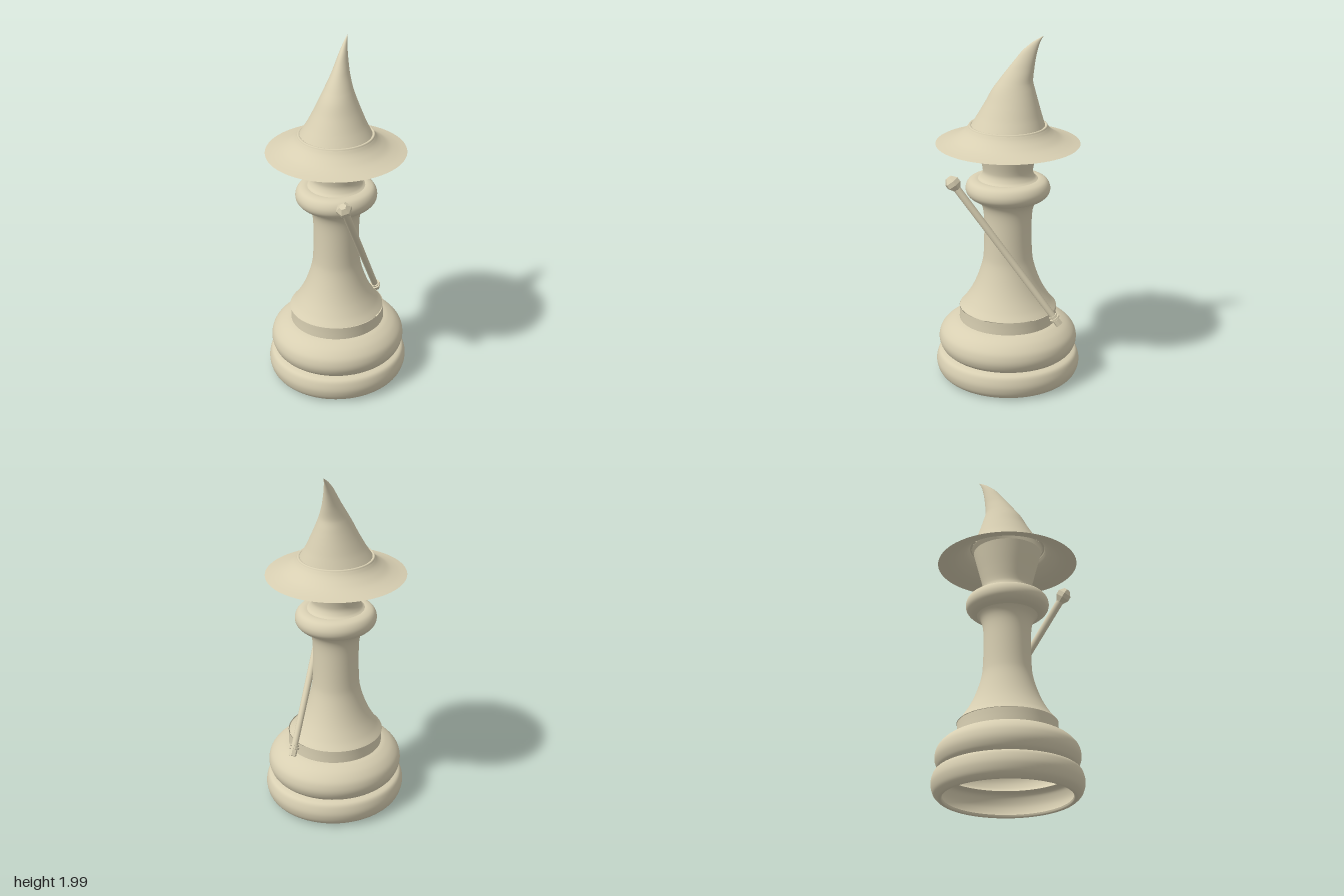
import * as THREE from 'three';

export function createModel() {
  const group = new THREE.Group();
  const ivory = new THREE.MeshStandardMaterial({ color: 0xd8cfb2, side: THREE.DoubleSide });
  ivory.name = 'ivory';
  const ivoryFlat = ivory.clone();
  ivoryFlat.name = 'ivory faceted';
  ivoryFlat.flatShading = true;

  const add = (name, geometry, parent = group, material = ivory) => {
    const mesh = new THREE.Mesh(geometry, material);
    mesh.name = name;
    parent.add(mesh);
    return mesh;
  };

  // Turned part: smooth profile of [radius, height], slightly narrower across x
  const turned = (name, profile, x = -0.01, squash = 0.96) => {
    const curve = new THREE.SplineCurve(profile.map(([r, y]) => new THREE.Vector2(r, y)));
    const geometry = new THREE.LatheGeometry(curve.getPoints(profile.length * 5), 80);
    geometry.scale(squash, 1, 1);
    geometry.translate(x, 0, 0);
    return add(name, geometry);
  };

  // Hollow base: two stacked rolls
  turned('lowerBaseRoll', [[0.352, 0.02], [0.358, 0.007], [0.375, 0.008], [0.402, 0.035], [0.415, 0.08],
    [0.41, 0.12], [0.395, 0.148], [0.362, 0.16]], -0.003);
  turned('upperBaseRoll', [[0.362, 0.16], [0.382, 0.18], [0.396, 0.215], [0.396, 0.25], [0.383, 0.285],
    [0.35, 0.32], [0.308, 0.344], [0.275, 0.354]], -0.003);

  // Plinth step and column
  turned('plinth', [[0.279, 0.352], [0.278, 0.39], [0.278, 0.425]], -0.004);
  turned('column', [[0.278, 0.425], [0.245, 0.465], [0.205, 0.53], [0.172, 0.605], [0.146, 0.69], [0.137, 0.76],
    [0.134, 0.88], [0.136, 0.98], [0.147, 1.035], [0.17, 1.07], [0.19, 1.082]]);

  // Collar and flaring neck
  turned('collar', [[0.17, 1.072], [0.205, 1.085], [0.23, 1.11], [0.237, 1.138], [0.23, 1.165],
    [0.213, 1.185], [0.185, 1.194], [0.155, 1.193]]);
  turned('neck', [[0.17, 1.192], [0.153, 1.205], [0.141, 1.23], [0.142, 1.26], [0.156, 1.32],
    [0.177, 1.4], [0.195, 1.47]]);

  // Hat brim with a small lip
  turned('hatBrim', [[0.4, 1.398], [0.35, 1.41], [0.3, 1.428], [0.26, 1.453], [0.235, 1.475],
    [0.22, 1.495]], -0.011, 0.972);
  turned('hatLip', [[0.22, 1.495], [0.215, 1.503], [0.205, 1.502], [0.2, 1.496]], -0.011, 0.972);

  // Hat crown bending backwards: sections of [y, centre z, z radius, x radius]
  const sections = [[1.495, 0, 0.206, 0.202], [1.56, -0.01, 0.176, 0.163], [1.635, -0.022, 0.144, 0.126],
    [1.7, -0.031, 0.118, 0.097], [1.75, -0.043, 0.094, 0.076], [1.82, -0.072, 0.071, 0.05],
    [1.87, -0.095, 0.055, 0.036], [1.92, -0.12, 0.04, 0.023], [1.97, -0.157, 0.018, 0.01],
    [2.0, -0.19, 0.001, 0.001]];
  const centres = new THREE.CatmullRomCurve3(sections.map(([y, z]) => new THREE.Vector3(0, y, z)));
  const radii = new THREE.CatmullRomCurve3(sections.map(([, , rz, rx]) => new THREE.Vector3(rx, 0, rz)));
  const rows = 45;
  const crown = new THREE.CylinderGeometry(1, 1, 1, 64, rows, true);
  const pos = crown.attributes.position;
  for (let i = 0; i < pos.count; i++) {
    const t = THREE.MathUtils.clamp(pos.getY(i) + 0.5, 0, 1);
    const c = centres.getPoint(t), r = radii.getPoint(t);
    pos.setXYZ(i, -0.012 + pos.getX(i) * r.x, c.y, c.z + pos.getZ(i) * r.z);
  }
  crown.computeVertexNormals();
  // Blend the normals across the seam
  const nor = crown.attributes.normal;
  for (let k = 0; k <= rows; k++) {
    const a = k * 65, b = a + 64;
    const n = new THREE.Vector3().fromBufferAttribute(nor, a)
      .add(new THREE.Vector3().fromBufferAttribute(nor, b)).normalize();
    nor.setXYZ(a, n.x, n.y, n.z);
    nor.setXYZ(b, n.x, n.y, n.z);
  }
  add('hatCrown', crown);

  // Staff leaning along the left side, built upright then tilted
  const top = new THREE.Vector3(0.132, 1.195, 0.285);
  const bottom = new THREE.Vector3(0.137, 0.385, -0.312);
  const length = top.distanceTo(bottom);
  const staff = new THREE.Group();
  staff.name = 'staff';
  staff.position.copy(bottom);
  staff.quaternion.setFromUnitVectors(new THREE.Vector3(0, 1, 0), top.clone().sub(bottom).normalize());
  group.add(staff);
  const rod = (name, rTop, rBottom, y0, y1, sides, material) => {
    const geometry = new THREE.CylinderGeometry(rTop, rBottom, y1 - y0, sides);
    geometry.translate(0, (y0 + y1) / 2, 0);
    add(name, geometry, staff, material);
  };
  rod('staffShaft', 0.021, 0.018, 0.02, length - 0.02, 16, ivory);
  rod('staffTip', 0.022, 0.022, -0.005, 0.03, 6, ivoryFlat);
  rod('staffRing', 0.03, 0.03, 0.034, 0.044, 12, ivoryFlat);
  rod('staffUpperRing', 0.025, 0.025, 0.052, 0.06, 12, ivoryFlat);
  rod('staffHeadLower', 0.043, 0.022, length - 0.042, length - 0.012, 6, ivoryFlat);
  rod('staffHeadMiddle', 0.043, 0.043, length - 0.012, length + 0.014, 6, ivoryFlat);
  rod('staffHeadUpper', 0.02, 0.043, length + 0.014, length + 0.04, 6, ivoryFlat);

  return group;
}
